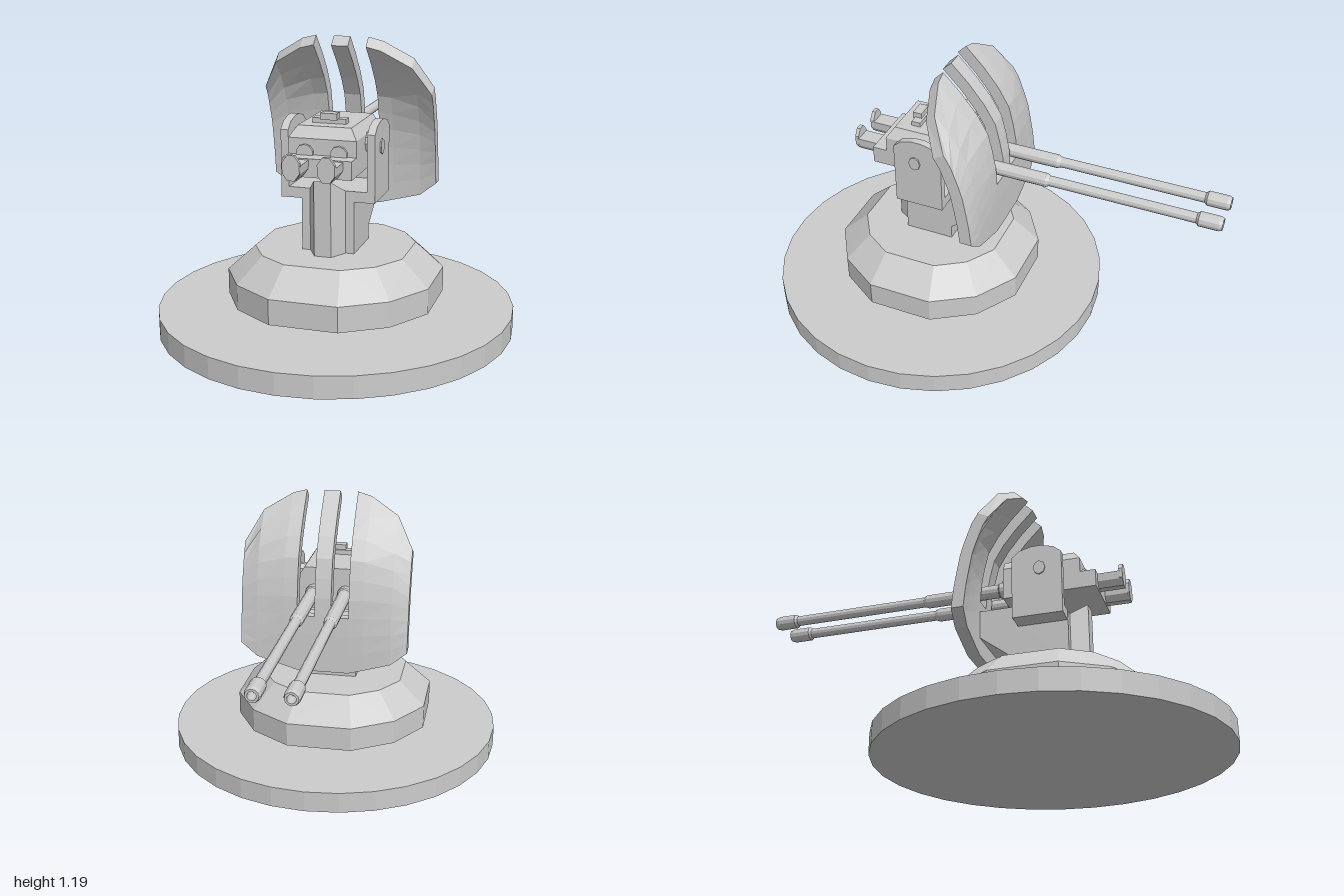
import * as THREE from 'three';
import { ConvexGeometry } from 'three/addons/geometries/ConvexGeometry.js';

const flat = new THREE.MeshStandardMaterial({ color: 0xcccccc, flatShading: true });
const smooth = new THREE.MeshStandardMaterial({ color: 0xcccccc, side: THREE.DoubleSide });
const CZ = 0.2625; // z of the turning axis

// Linear interpolation through [key, value] pairs
function lerpTable(table, k) {
  for (let i = 1; i < table.length; i++) {
    const [a, va] = table[i - 1], [b, vb] = table[i];
    if (k <= b || i === table.length - 1) return va + (vb - va) * (k - a) / (b - a);
  }
}

// Shield: outer profile z(y), and its top and bottom outline by distance from the middle
const PROFILE = [[0.45, -0.065], [0.66, -0.065], [0.81, -0.055], [0.95, -0.02], [1.065, 0.05], [1.19, 0.17]];
const TOP = [[0, 1.19], [0.11, 1.19], [0.17, 1.175], [0.29, 1.105], [0.36, 0.98]];
const BOTTOM = [[0, 0.45], [0.11, 0.45], [0.29, 0.5], [0.36, 0.556]];
const BOW = [[0, 0], [0.11, 0], [0.17, 0.1], [0.29, 0.5], [0.36, 1]];

// Curved slab: a box whose columns follow xs and whose rows follow the profile
function shieldPanel(xs, rows, low, high) {
  const geo = new THREE.BoxGeometry(1, 1, 1, xs.length - 1, rows, 1);
  const p = geo.attributes.position;
  for (let i = 0; i < p.count; i++) {
    const x = xs[Math.round((p.getX(i) + 0.5) * (xs.length - 1))];
    const ax = Math.abs(x), y0 = low(ax), y1 = high(ax);
    const y = y0 + (y1 - y0) * (p.getY(i) + 0.5);
    const slope = (lerpTable(PROFILE, y + 0.04) - lerpTable(PROFILE, y - 0.04)) / 0.08;
    const n = (p.getZ(i) > 0 ? 0.052 : 0) / Math.hypot(1, slope);
    const bow = lerpTable(BOW, ax) * (0.012 + 0.05 * Math.max(0, (y - 0.55) / 0.43));
    p.setXYZ(i, x, y - n * slope, lerpTable(PROFILE, y) + bow + n);
  }
  return geo;
}

// Extrudes a (z, y) outline across x, centred on x = 0
function sideExtrude(points, width) {
  const shape = new THREE.Shape(points.map(([z, y]) => new THREE.Vector2(z, y)));
  const geo = new THREE.ExtrudeGeometry(shape, { depth: width, bevelEnabled: false });
  return geo.translate(0, 0, -width / 2).rotateY(-Math.PI / 2);
}

const hull = (points) => new ConvexGeometry(points.map((p) => new THREE.Vector3(...p)));

// Four corners of a horizontal rectangle
const rect = (hx, y, z0, z1) => [[-hx, y, z0], [hx, y, z0], [hx, y, z1], [-hx, y, z1]];

function box(x0, x1, y0, y1, z0, z1) {
  return new THREE.BoxGeometry(x1 - x0, y1 - y0, z1 - z0)
    .translate((x0 + x1) / 2, (y0 + y1) / 2, (z0 + z1) / 2);
}

export function createModel() {
  const model = new THREE.Group();
  const add = (name, geo, mat = flat) => {
    const mesh = new THREE.Mesh(geo, mat);
    mesh.name = name;
    model.add(mesh);
    return mesh;
  };

  // Ground disc
  add('groundDisc', new THREE.CylinderGeometry(0.7375, 0.7375, 0.09, 32).translate(0, 0.045, CZ));

  // Twelve-sided turntable with a sloping shoulder
  const ring = (corners, y) => corners.flatMap(([a, b]) =>
    [-1, 1].flatMap((sx) => [-1, 1].map((sz) => [sx * a, y, CZ + sz * b])));
  const lower = [[0.14, 0.425], [0.315, 0.315], [0.425, 0.14]];
  const upper = [[0.115, 0.312], [0.235, 0.235], [0.312, 0.115]];
  add('turntable', hull([...ring(lower, 0.13), ...ring(lower, 0.235), ...ring(upper, 0.34)]));

  // Pedestal with overhanging back and chamfered nose
  add('pedestal', sideExtrude([[0.37, 0.335], [0.37, 0.6], [0.155, 0.6], [0.155, 0.65],
    [-0.015, 0.65], [-0.015, 0.53], [0.155, 0.4], [0.155, 0.335]], 0.22));
  add('pedestalNose', hull([
    [-0.075, 0.335, 0.37], [0.075, 0.335, 0.37], [-0.075, 0.6, 0.37], [0.075, 0.6, 0.37],
    [-0.035, 0.335, 0.44], [0.035, 0.335, 0.44], [-0.035, 0.65, 0.44], [0.035, 0.65, 0.44]]));

  // Yoke: cross bar, round-topped cheeks and trunnion pins
  add('yokeBar', box(-0.17, 0.17, 0.556, 0.6, 0.156, 0.369));
  for (const s of [-1, 1]) {
    add('yokeCheek', sideExtrude([[0.37, 0.556], [0.37, 0.834], [0.337, 0.862], [0.285, 0.876],
      [0.24, 0.876], [0.188, 0.862], [0.155, 0.834], [0.155, 0.556]], 0.032)
      .translate(s * 0.18, 0, 0));
    add('trunnion', new THREE.CylinderGeometry(0.042, 0.042, 0.04, 10)
      .rotateZ(Math.PI / 2).translate(s * 0.15, 0.785, 0.275));
    add('trunnionPin', new THREE.CylinderGeometry(0.026, 0.026, 0.02, 8)
      .rotateZ(Math.PI / 2).scale(1, 1.2, 1).translate(s * 0.192, 0.77, 0.275));
  }

  // Receiver housing, front step and sight block
  add('receiver', hull([...rect(0.14, 0.68, 0.1, 0.435), ...rect(0.14, 0.82, 0.1, 0.435),
    ...rect(0.11, 0.865, 0.1, 0.405)]));
  add('receiverStep', box(-0.14, 0.14, 0.68, 0.755, 0.43, 0.5));
  add('sightBase', box(-0.07, 0.07, 0.86, 0.885, 0.305, 0.345));
  add('sightTop', box(-0.035, 0.035, 0.88, 0.907, 0.315, 0.355));

  // Barrel outline: collar, thick sleeve, thin tube, hollow muzzle
  const barrelProfile = [[0, -0.12], [0.034, -0.12], [0.034, -0.07], [0.029, -0.065], [0.029, 0.265],
    [0.022, 0.28], [0.022, 0.895], [0.031, 0.905], [0.031, 0.985], [0.026, 1], [0.017, 1],
    [0.017, 0.94], [0, 0.94]].map(([r, y]) => new THREE.Vector2(r, y));
  for (const s of [-1, 1]) {
    const x = s * 0.07;
    const barrel = new THREE.LatheGeometry(barrelProfile, 12).toNonIndexed();
    barrel.computeVertexNormals();
    add('barrel', barrel.rotateX(-Math.PI / 2).translate(x, 0.755, 0), smooth);

    // Breech trough closed by an oval end plate
    const half = [[-0.036, 0.75], [-0.034, 0.715], [-0.016, 0.69], [0.016, 0.69], [0.034, 0.715], [0.036, 0.75]];
    add('breechTrough', hull([0.43, 0.595].flatMap((z) => half.map(([a, y]) => [x + a, y, z]))));
    add('breechPlate', new THREE.CylinderGeometry(1, 1, 0.016, 8).rotateX(Math.PI / 2)
      .rotateZ(Math.PI / 8).scale(0.038, 0.054, 1).translate(x, 0.74, 0.597));
    add('breechRing', new THREE.CylinderGeometry(0.036, 0.036, 0.03, 10)
      .rotateX(Math.PI / 2).translate(x, 0.762, 0.432));
  }

  // Curved shield: two wings, lower middle and a strip between the gun slots
  const top = (x) => lerpTable(TOP, x), bottom = (x) => lerpTable(BOTTOM, x);
  const wing = [0.11, 0.17, 0.29, 0.36];
  add('shieldLeftWing', shieldPanel(wing, 9, bottom, top));
  add('shieldRightWing', shieldPanel(wing.map((x) => -x).reverse(), 9, bottom, top));
  add('shieldLowerMiddle', shieldPanel([-0.11, 0.11], 3, bottom, () => 0.7));
  add('shieldStrip', shieldPanel([-0.035, 0.035], 6, () => 0.7, top));

  return model;
}
